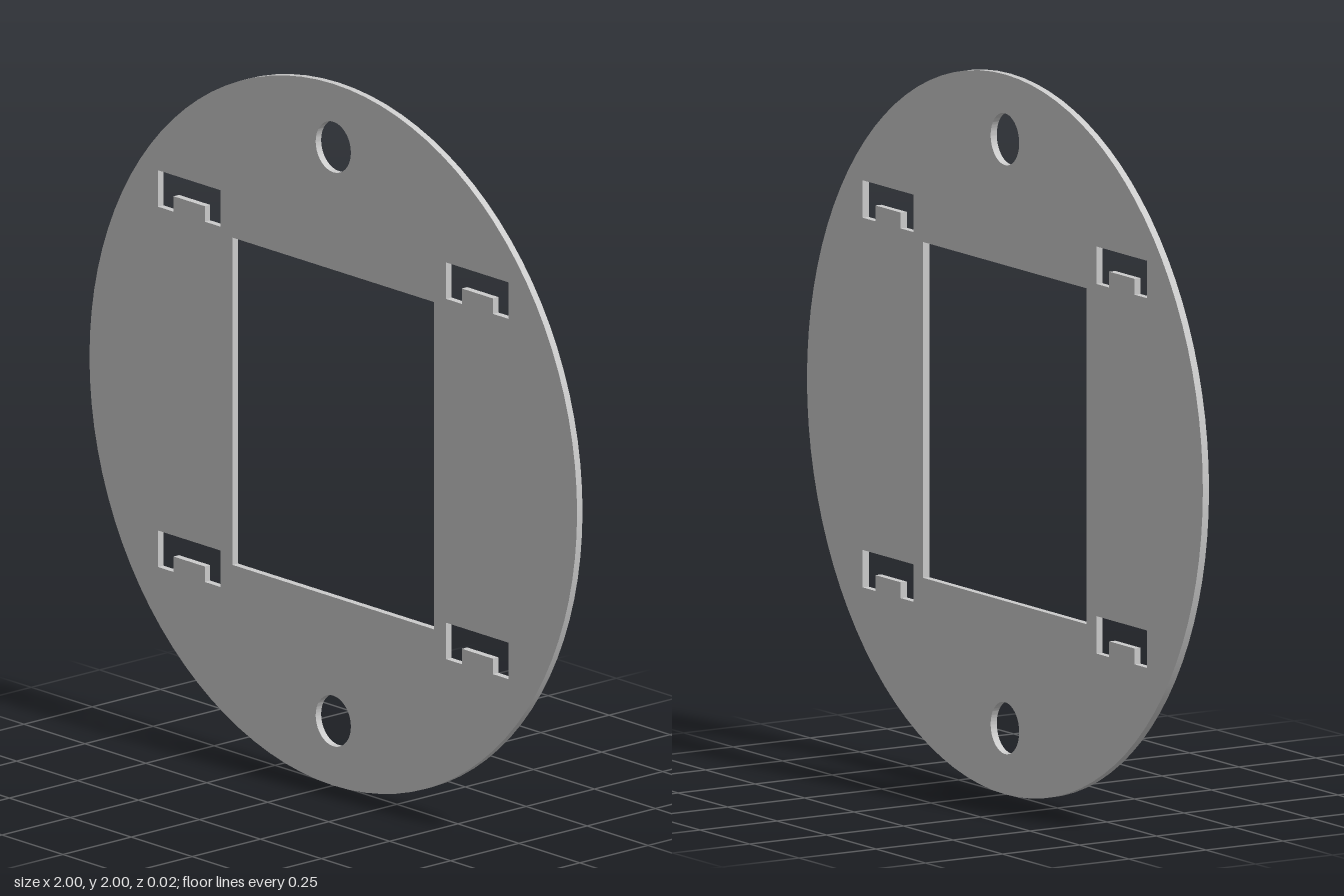
import * as THREE from 'three';
import { toCreasedNormals } from 'three/addons/utils/BufferGeometryUtils.js';

const THICKNESS = 0.02;

const polygon = (points) => new THREE.Path(points.map(([x, y]) => new THREE.Vector2(x, y)));

// Round screw hole on the vertical centre line
function roundHole(y, radius) {
  return new THREE.Path().absarc(0, y, radius, 0, Math.PI * 2, true);
}

// Slot with a tab rising from the middle of its lower edge
function tabbedSlot(cx, top) {
  const w = 0.128, h = 0.104, tabW = 0.064, tabTop = top - 0.06, bottom = top - h;
  return polygon([
    [cx - w, top], [cx - w, bottom], [cx - tabW, bottom], [cx - tabW, tabTop],
    [cx + tabW, tabTop], [cx + tabW, bottom], [cx + w, bottom], [cx + w, top],
  ]);
}

export function createModel() {
  const group = new THREE.Group();
  group.name = 'mountingPlate';

  // Disc outline
  const disc = new THREE.Shape().absarc(0, 1, 1, 0, Math.PI * 2, false);

  // Central rectangular window
  disc.holes.push(polygon([[-0.413, 0.537], [-0.413, 1.47], [0.413, 1.47], [0.413, 0.537]]));

  // Screw holes at top and bottom
  for (const y of [0.184, 1.82]) disc.holes.push(roundHole(y, 0.072));

  // Four tabbed slots
  for (const x of [-0.591, 0.591]) {
    for (const top of [0.567, 1.594]) disc.holes.push(tabbedSlot(x, top));
  }

  const geometry = new THREE.ExtrudeGeometry(disc, {
    depth: THICKNESS, bevelEnabled: false, curveSegments: 48,
  });
  geometry.translate(0, 0, -THICKNESS / 2);

  const plate = new THREE.Mesh(
    toCreasedNormals(geometry, 0.6),
    new THREE.MeshStandardMaterial({ color: 0xcccccc }),
  );
  plate.name = 'plate';
  group.add(plate);
  return group;
}
